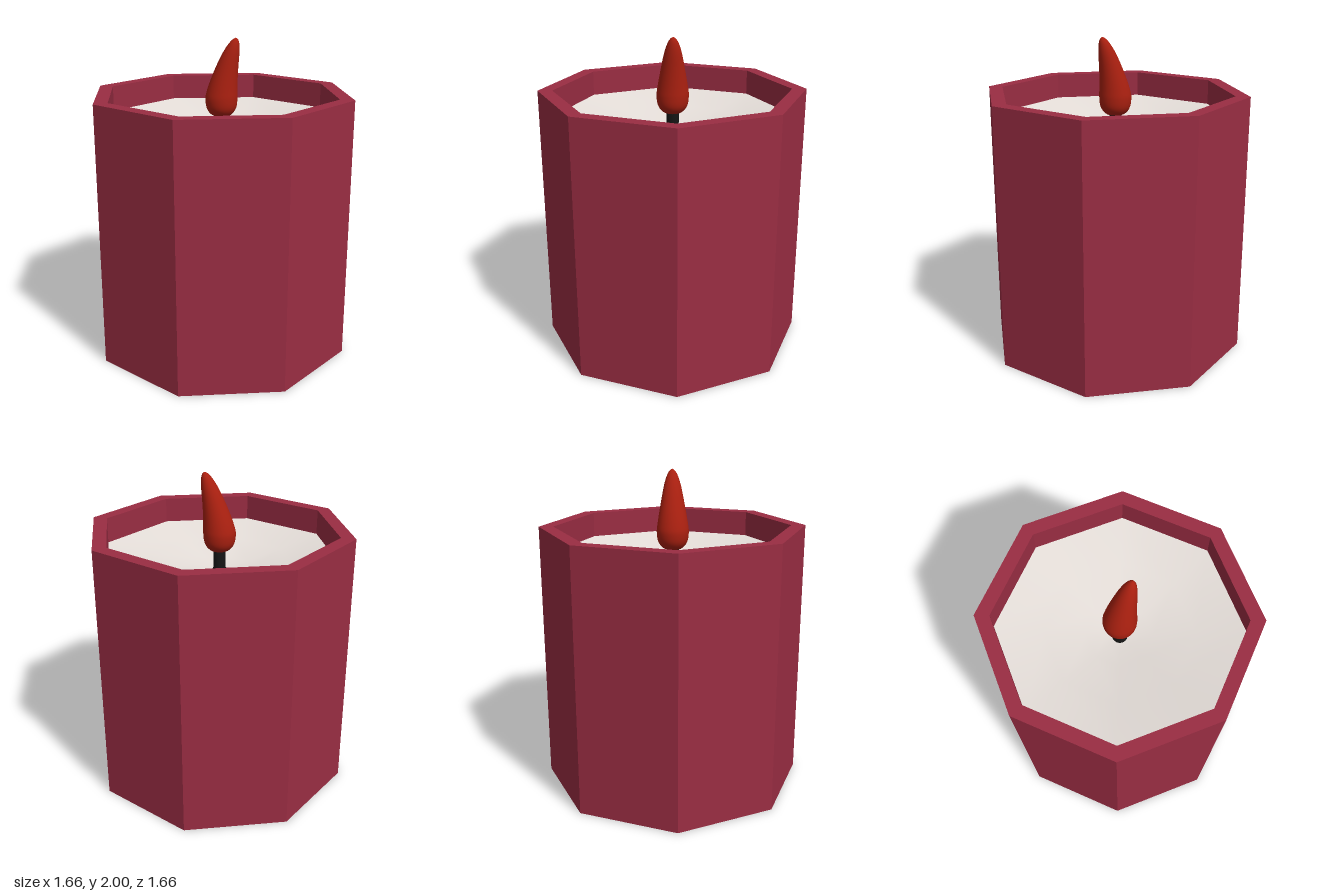
import * as THREE from 'three';
import { mergeVertices } from 'three/addons/utils/BufferGeometryUtils.js';

const points = (list) => list.map(([r, y]) => new THREE.Vector2(r, y));

function addPart(group, name, geometry, color, options = {}) {
  const mesh = new THREE.Mesh(geometry, new THREE.MeshStandardMaterial({ color, ...options }));
  mesh.name = name;
  group.add(mesh);
}

// Lathe with its seam welded so the normals stay smooth all round
function smoothLathe(profile, sides, deform) {
  let geometry = new THREE.LatheGeometry(profile, sides);
  if (deform) deform(geometry.attributes.position);
  geometry.deleteAttribute('uv');
  geometry.deleteAttribute('normal');
  geometry = mergeVertices(geometry, 1e-5);
  geometry.computeVertexNormals();
  return geometry;
}

export function createModel() {
  const group = new THREE.Group();
  group.name = 'candle';

  // Octagonal holder: outer wall, rim, inner wall and floor
  const holder = points([[0, 0], [0.83, 0], [0.83, 1.66], [0.74, 1.66], [0.74, 0.09], [0, 0.09]]);
  addPart(group, 'holder', new THREE.LatheGeometry(holder, 8), 0x9a2d43, { flatShading: true });

  // Wax surface, dished towards the wick
  const wax = points([[0.74, 1.5], [0.45, 1.447], [0.2, 1.405], [0.08, 1.388], [0, 1.385]]);
  addPart(group, 'wax', smoothLathe(wax, 8), 0xe6dfda, { side: THREE.DoubleSide });

  // Wick, flared at its foot
  const wick = points([[0, 1.37], [0.048, 1.38], [0.045, 1.392], [0.038, 1.405], [0.038, 1.56], [0, 1.56]]);
  addPart(group, 'wick', smoothLathe(wick, 16), 0x141414);

  // Flame: teardrop whose centre line leans to +x towards the tip
  const outline = new THREE.SplineCurve(points([
    [0, 1.51], [0.055, 1.52], [0.09, 1.56], [0.1, 1.62], [0.094, 1.68],
    [0.073, 1.8], [0.053, 1.9], [0.034, 1.96], [0.016, 1.99], [0, 2],
  ])).getPoints(45);
  outline[0].x = outline[45].x = 0;
  const lean = (position) => {
    for (let i = 0; i < position.count; i++) {
      const t = Math.max(0, (position.getY(i) - 1.62) / 0.38);
      position.setX(i, position.getX(i) + 0.093 * Math.pow(t, 1.45));
    }
  };
  addPart(group, 'flame', smoothLathe(outline, 24, lean), 0xaa2010);

  return group;
}
